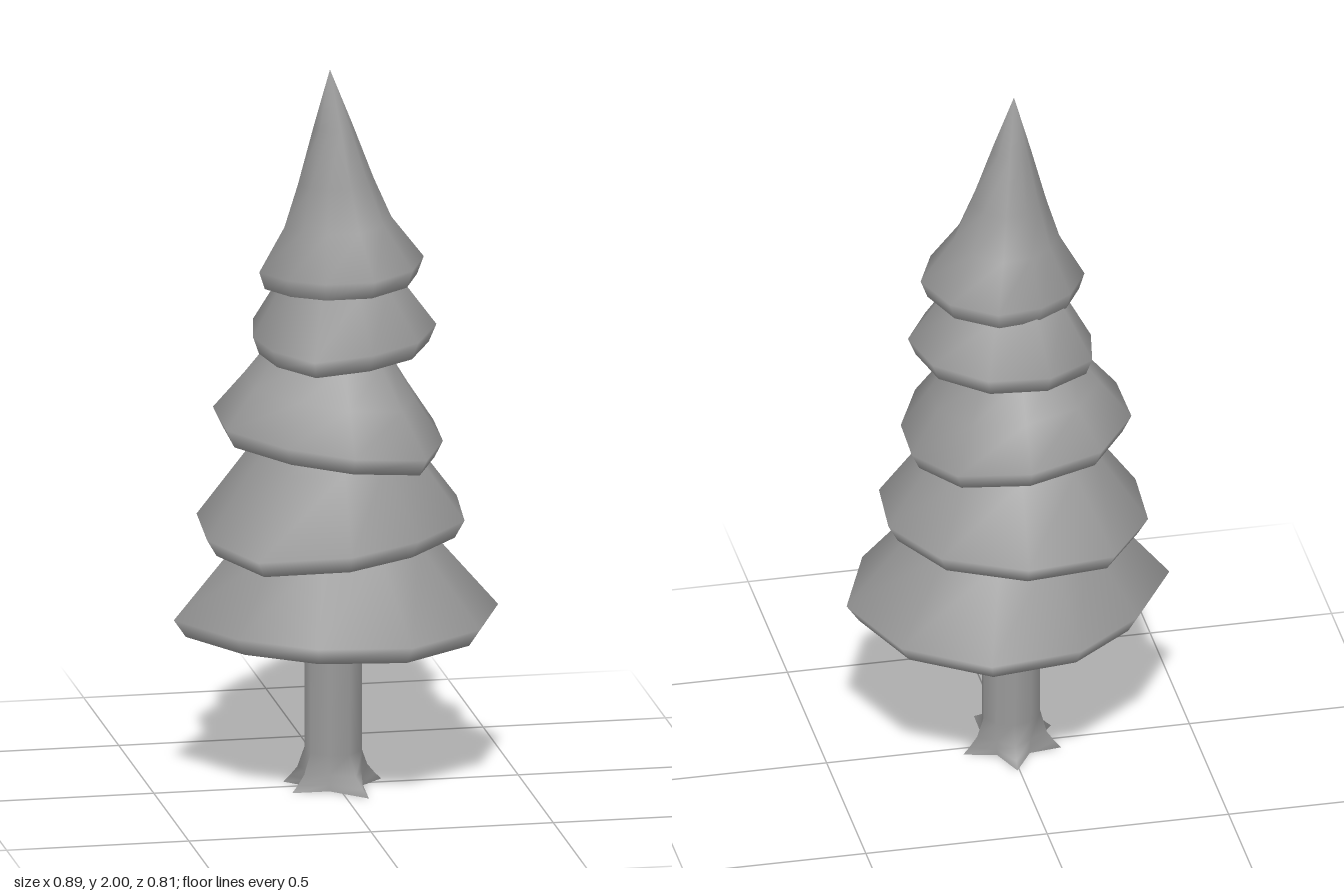
import * as THREE from 'three';
import { mergeVertices } from 'three/addons/utils/BufferGeometryUtils.js';

const CX = -0.007; // trunk axis
const rad = THREE.MathUtils.degToRad;

// Smooth skin over closed rings of [x, y, z] points, listed anticlockwise from above
function loft(rings) {
  const n = rings[0].length;
  const index = [];
  for (let r = 0; r < rings.length - 1; r++) {
    for (let i = 0; i < n; i++) {
      const j = (i + 1) % n;
      const a = r * n + i, b = r * n + j, c = a + n, d = b + n;
      index.push(a, b, d, a, d, c);
    }
  }
  const geo = new THREE.BufferGeometry();
  geo.setAttribute('position', new THREE.Float32BufferAttribute(rings.flat(2), 3));
  geo.setIndex(index);
  const merged = mergeVertices(geo);
  merged.computeVertexNormals();
  return merged;
}

// One ten-sided skirt: rim radii from a start angle, rim height, tilt in x and z,
// slope as [scale of rim, height above rim], ending in a small cap or a tip
function skirt({ radii, start, y, tilt, slope, tip }) {
  const [topS, topH] = slope[slope.length - 1];
  const roofS = tip ? 0.4 : topS * 0.88;
  const roofH = tip ? 0.2 : topH - 0.04;
  const end = tip ? [[0, tip]] : [[topS - 0.06, topH + 0.02], [0.1, topH + 0.02]];
  // inner roof, inner wall, rolled rim, outer slope
  const profile = [[0.08, roofH], [roofS, roofH], [0.83, -0.012], [0.87, -0.04],
    [0.925, -0.048], [1, 0], ...slope, ...end];
  return loft(profile.map(([s, h]) => {
    const lean = tip && h > 0 ? 0.012 * h / tip : 0;
    return radii.map((r, i) => {
      const a = rad(start + i * 360 / radii.length);
      const x = CX + (Math.cos(a) * r - CX) * s;
      const z = -Math.sin(a) * r * s;
      return [x - lean, y + h + tilt[0] * x + tilt[1] * z, z + lean];
    });
  }));
}

// Trunk, open below, with five pointed roots given as [angle in degrees, reach]
function trunkGeometry() {
  const R = 0.08;
  const roots = [[14, 0.142], [85, 0.15], [158, 0.138], [209, 0.145], [292, 0.176]];
  const spokes = roots.flatMap(([deg, reach], i) => {
    const next = i < 4 ? roots[i + 1][0] : roots[0][0] + 360;
    return [[deg, reach], [(deg + next) / 2, 0.075]];
  });
  // [height, share of root reach]
  const levels = [[0, 1], [0.018, 0.7], [0.045, 0.33], [0.1, 0], [1.6, 0]];
  return loft(levels.map(([y, k]) => spokes.map(([deg, reach]) => {
    const r = R + (reach - R) * k;
    return [CX + Math.cos(rad(deg)) * r, y, -Math.sin(rad(deg)) * r];
  })));
}

export function createModel() {
  const tree = new THREE.Group();
  tree.name = 'coniferTree';
  const material = new THREE.MeshStandardMaterial({ color: 0x999999, side: THREE.DoubleSide });
  const add = (name, geometry) => {
    const mesh = new THREE.Mesh(geometry, material);
    mesh.name = name;
    tree.add(mesh);
  };

  add('trunk', trunkGeometry());

  // Branch tiers from the ground up
  add('lowestBranches', skirt({
    radii: [0.445, 0.432, 0.426, 0.392, 0.382, 0.445, 0.388, 0.39, 0.427, 0.429],
    start: 0, y: 0.48, tilt: [0, 0], slope: [[0.58, 0.22], [0.38, 0.34]],
  }));
  add('lowerBranches', skirt({
    radii: [0.359, 0.385, 0.4, 0.413, 0.383, 0.383, 0.428, 0.359, 0.326, 0.353],
    start: 14, y: 0.745, tilt: [0.045, -0.045], slope: [[0.62, 0.19], [0.42, 0.28]],
  }));
  add('middleBranches', skirt({
    radii: [0.297, 0.324, 0.33, 0.343, 0.335, 0.334, 0.296, 0.3, 0.341, 0.291],
    start: 17, y: 1.003, tilt: [-0.1, -0.06], slope: [[0.74, 0.11], [0.52, 0.21]],
  }));
  add('upperBranches', skirt({
    radii: [0.272, 0.278, 0.282, 0.27, 0.259, 0.225, 0.229, 0.273, 0.244, 0.256],
    start: -5, y: 1.265, tilt: [0.05, -0.05], slope: [[0.64, 0.14], [0.54, 0.165]],
  }));
  add('treetop', skirt({
    radii: [0.24, 0.23, 0.217, 0.187, 0.186, 0.21, 0.188, 0.196, 0.223, 0.23],
    start: -1, y: 1.45, tilt: [0.055, 0], slope: [[0.65, 0.12], [0.46, 0.235], [0.24, 0.39]], tip: 0.55,
  }));
  return tree;
}
